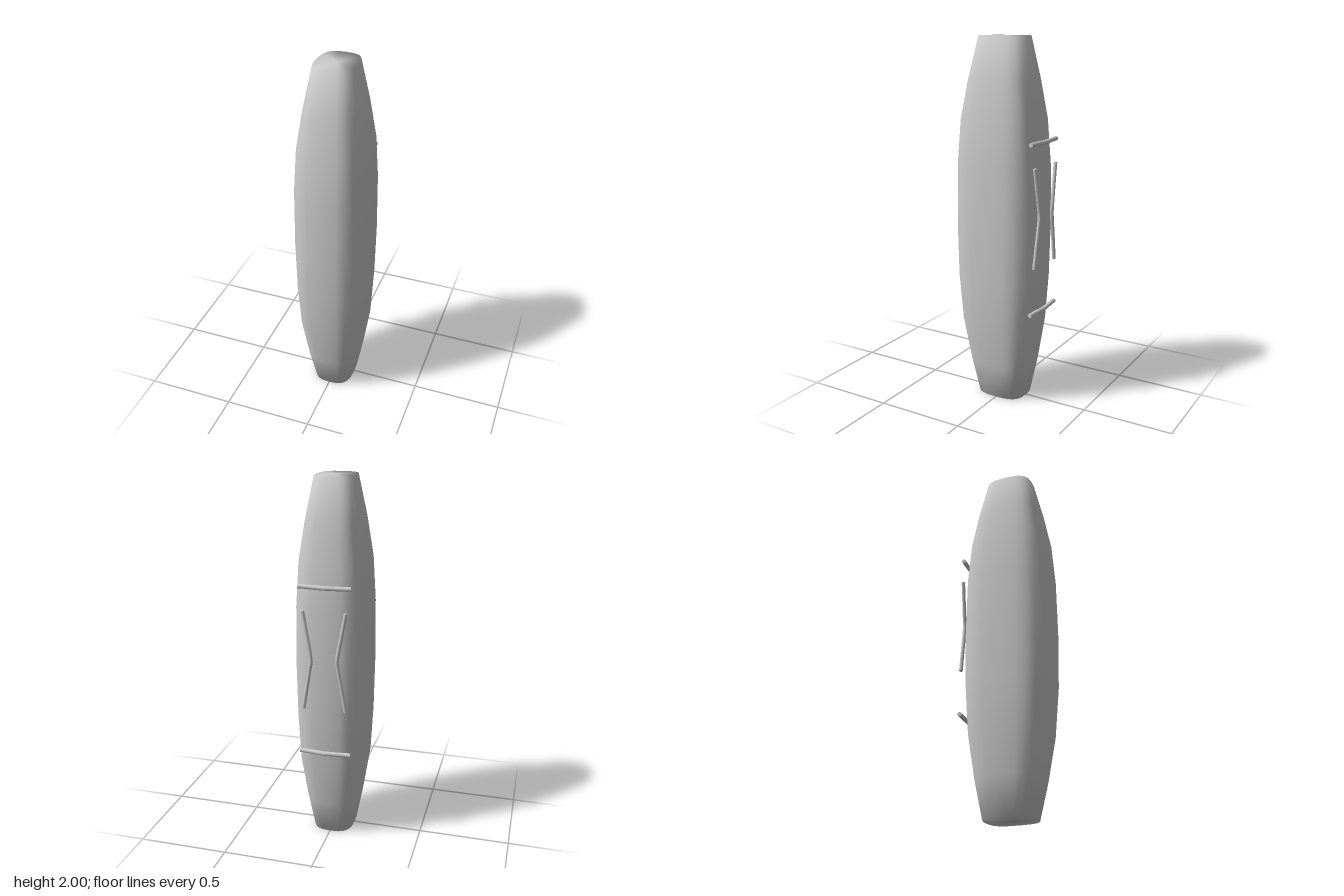
import * as THREE from 'three';

const material = new THREE.MeshStandardMaterial({ color: 0xcccccc });

// Body rings: [height, half width, front z, back z]
const RINGS = [
  [0, 0.112, 0.143, -0.135], [0.2, 0.148, 0.187, -0.175], [0.44, 0.183, 0.228, -0.21],
  [0.7, 0.195, 0.25, -0.228], [1.0, 0.2, 0.255, -0.235], [1.33, 0.197, 0.249, -0.23],
  [1.57, 0.183, 0.23, -0.212], [1.78, 0.15, 0.19, -0.175], [2, 0.105, 0.138, -0.128],
];
const SIDES = 24;

// Loft of rounded-rectangle rings, closed at both ends
function bodyGeometry() {
  const positions = [], index = [];
  const power = (v) => Math.sign(v) * Math.abs(v) ** (2 / 3);
  for (const [y, halfWidth, front, back] of RINGS) {
    for (let i = 0; i < SIDES; i++) {
      const a = (i / SIDES) * Math.PI * 2;
      positions.push(
        halfWidth * power(Math.sin(a)), y,
        (front + back) / 2 + ((front - back) / 2) * power(Math.cos(a)));
    }
  }
  const last = (RINGS.length - 1) * SIDES;
  const bottom = positions.length / 3, top = bottom + 1;
  positions.push(0, 0, 0.004, 0, 2, 0.005);
  for (let i = 0; i < SIDES; i++) {
    const j = (i + 1) % SIDES;
    for (let r = 0; r < last; r += SIDES) {
      index.push(r + i, r + j, r + SIDES + j, r + i, r + SIDES + j, r + SIDES + i);
    }
    index.push(bottom, j, i, top, last + i, last + j);
  }
  const geometry = new THREE.BufferGeometry();
  geometry.setAttribute('position', new THREE.Float32BufferAttribute(positions, 3));
  geometry.setIndex(index);
  geometry.computeVertexNormals();
  return geometry;
}

// Round rod through three points, bent at the middle, with closed ends
function rod(name, points, radius) {
  const group = new THREE.Group();
  group.name = name;
  const [a, b, c] = points.map((p) => new THREE.Vector3(...p));
  const path = new THREE.CurvePath();
  path.add(new THREE.LineCurve3(a, b));
  path.add(new THREE.LineCurve3(b, c));
  group.add(new THREE.Mesh(new THREE.TubeGeometry(path, 12, radius, 10), material));
  for (const end of [a, c]) {
    const cap = new THREE.Mesh(new THREE.CircleGeometry(radius, 10), material);
    cap.position.copy(end);
    cap.lookAt(end.clone().multiplyScalar(2).sub(b));
    group.add(cap);
  }
  return group;
}

export function createModel() {
  const model = new THREE.Group();
  model.name = 'taperedPod';

  const body = new THREE.Mesh(bodyGeometry(), material);
  body.name = 'body';
  model.add(body);

  // Crossbars above and below on the back
  for (const [name, y] of [['upperCrossbar', 1.465], ['lowerCrossbar', 0.545]]) {
    model.add(rod(name, [[-0.14, y, -0.23], [0, y, -0.243], [0.14, y, -0.23]], 0.012));
  }

  // Mirrored pair of bent rods between the crossbars
  for (const [name, s] of [['leftBentRod', 1], ['rightBentRod', -1]]) {
    model.add(rod(name, [
      [s * 0.115, 0.8, -0.241], [s * 0.068, 1.08, -0.247], [s * 0.115, 1.34, -0.241],
    ], 0.01));
  }
  return model;
}
